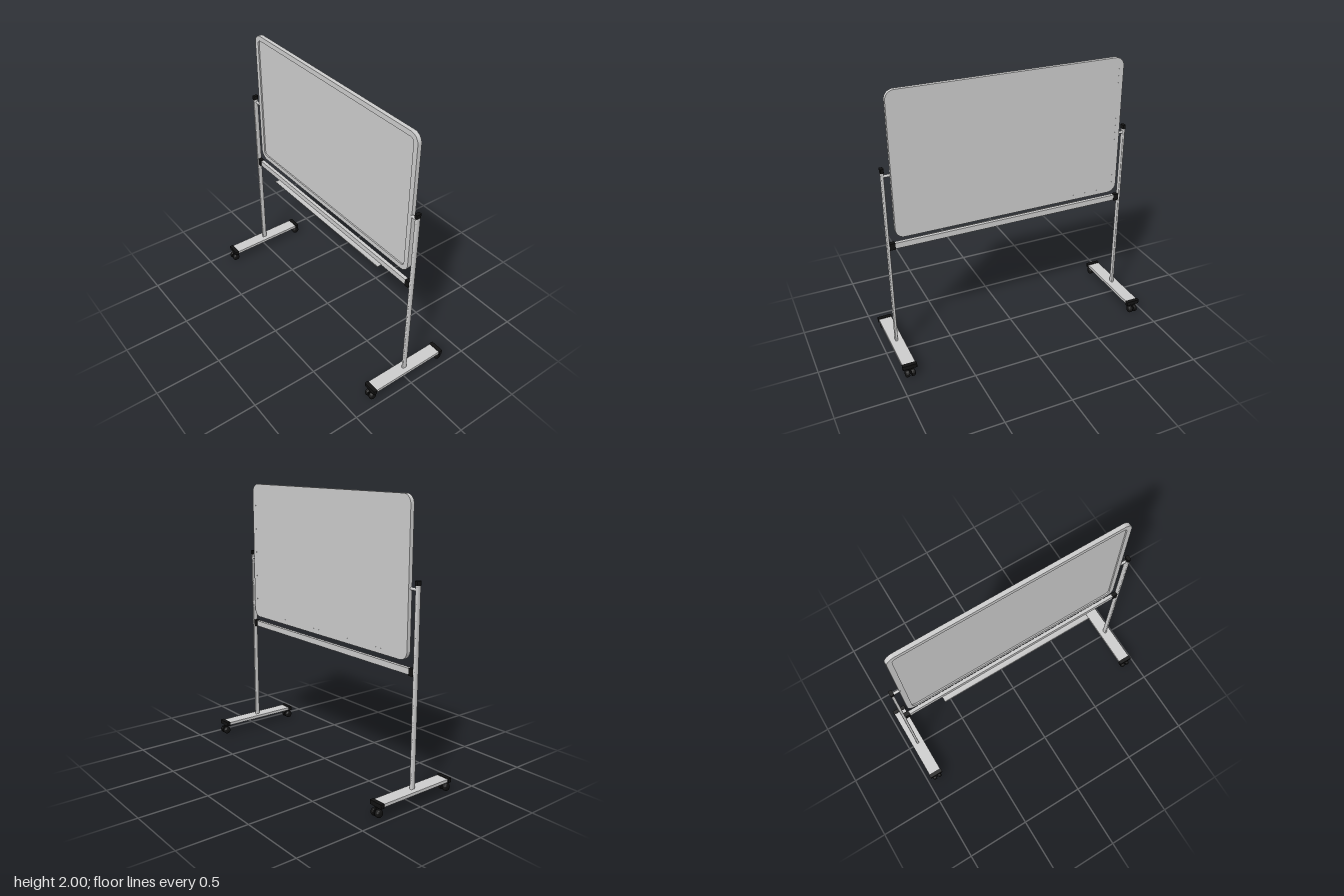
import * as THREE from 'three';
import { toCreasedNormals } from 'three/addons/utils/BufferGeometryUtils.js';

const grey = new THREE.MeshStandardMaterial({ color: 0xcccccc });
const greyThin = new THREE.MeshStandardMaterial({ color: 0xcccccc, side: THREE.DoubleSide });
const black = new THREE.MeshStandardMaterial({ color: 0x111111 });

// Rounded rectangle centred on the origin
function roundedRect(w, h, r, Type = THREE.Shape) {
  const s = new Type(), x = w / 2, y = h / 2;
  s.moveTo(-x + r, -y);
  s.lineTo(x - r, -y);
  s.absarc(x - r, -y + r, r, -Math.PI / 2, 0, false);
  s.lineTo(x, y - r);
  s.absarc(x - r, y - r, r, 0, Math.PI / 2, false);
  s.lineTo(-x + r, y);
  s.absarc(-x + r, y - r, r, Math.PI / 2, Math.PI, false);
  s.lineTo(-x, -y + r);
  s.absarc(-x + r, -y + r, r, Math.PI, Math.PI * 1.5, false);
  return s;
}

function extrude(shape, depth) {
  const g = new THREE.ExtrudeGeometry(shape, { depth, bevelEnabled: false, curveSegments: 10 });
  return toCreasedNormals(g, 0.6);
}

function add(parent, name, geometry, material, x = 0, y = 0, z = 0) {
  const m = new THREE.Mesh(geometry, material);
  m.name = name;
  m.position.set(x, y, z);
  parent.add(m);
  return m;
}

// Upright bar with rounded corners, standing from y0 to y1
function upright(parent, name, w, d, r, y0, y1, material, x, z) {
  add(parent, name, extrude(roundedRect(w, d, r), y1 - y0), material, x, y0, z).rotation.x = -Math.PI / 2;
}

// Twin-wheel caster with hood and stem
function makeCaster() {
  const caster = new THREE.Group();
  caster.name = 'caster';
  const profile = [[0, -0.015], [0.018, -0.015], [0.025, -0.011], [0.028, -0.004],
    [0.028, 0.006], [0.026, 0.013], [0, 0.013]].map(([r, y]) => new THREE.Vector2(r, y));
  const wheel = toCreasedNormals(new THREE.LatheGeometry(profile, 28), 0.7);
  for (const s of [-1, 1]) {
    add(caster, 'wheel', wheel, black, s * 0.021, 0.028, 0).rotation.z = s * Math.PI / 2;
  }
  const axle = new THREE.CylinderGeometry(0.007, 0.007, 0.03, 12);
  add(caster, 'axle', axle, black, 0, 0.028, 0).rotation.z = Math.PI / 2;
  add(caster, 'casterHood', new THREE.BoxGeometry(0.012, 0.03, 0.03), black, 0, 0.043, 0);
  add(caster, 'stem', new THREE.CylinderGeometry(0.008, 0.008, 0.03, 12), black, 0, 0.063, 0);
  return caster;
}

// Post, foot, casters and fittings of one side
function makeSide(s) {
  const side = new THREE.Group();
  side.name = s > 0 ? 'leftStand' : 'rightStand';
  const x = s * 0.917;
  upright(side, 'post', 0.02, 0.034, 0.006, 0.09, 1.45, grey, x, 0.003);
  upright(side, 'postCap', 0.025, 0.039, 0.007, 1.445, 1.475, black, x, 0.003);

  // Pivot that holds the board
  const pivot = new THREE.CylinderGeometry(0.01, 0.01, 0.06, 16);
  add(side, 'pivot', pivot, grey, s * 0.885, 1.42, -0.004).rotation.z = Math.PI / 2;

  // Crossbar bracket
  add(side, 'crossbarBracket', new THREE.BoxGeometry(0.04, 0.05, 0.032), black, s * 0.888, 0.886, 0.003);

  // Foot with end caps
  add(side, 'foot', new THREE.BoxGeometry(0.096, 0.022, 0.6), grey, x, 0.086, 0);
  for (const e of [-1, 1]) {
    upright(side, 'footCap', 0.106, 0.03, 0.006, 0.071, 0.101, black, x, e * 0.306);
    const caster = makeCaster();
    caster.position.set(x, 0, e * 0.308);
    side.add(caster);
  }
  return side;
}

export function createModel() {
  const model = new THREE.Group();
  model.name = 'mobileWhiteboard';

  // Board: rounded frame around a recessed writing surface, flat back
  const board = new THREE.Group();
  board.name = 'board';
  board.position.set(0, 1.4775, 0);
  model.add(board);
  const rim = roundedRect(1.73, 1.045, 0.065);
  rim.holes.push(roundedRect(1.656, 0.971, 0.03, THREE.Path));
  add(board, 'frame', extrude(rim, 0.03), grey, 0, 0, -0.027);
  add(board, 'writingSurface', extrude(roundedRect(1.66, 0.975, 0.032), 0.02), grey, 0, 0, -0.0268);

  // Crossbar between the posts
  add(model, 'crossbar', new THREE.BoxGeometry(1.75, 0.043, 0.026), grey, 0, 0.887, 0.003);

  // Pen tray: thin bent sheet with a front lip
  const tray = new THREE.Shape();
  [[0, 0.869], [0.05, 0.867], [0.056, 0.87], [0.064, 0.884], [0.061, 0.885], [0.054, 0.873],
    [0.049, 0.87], [0, 0.872]].forEach(([z, y], i) => (i ? tray.lineTo(-z, y) : tray.moveTo(-z, y)));
  add(model, 'penTray', extrude(tray, 1.24), greyThin, -0.61, 0, 0).rotation.y = Math.PI / 2;

  for (const s of [-1, 1]) model.add(makeSide(s));
  return model;
}
